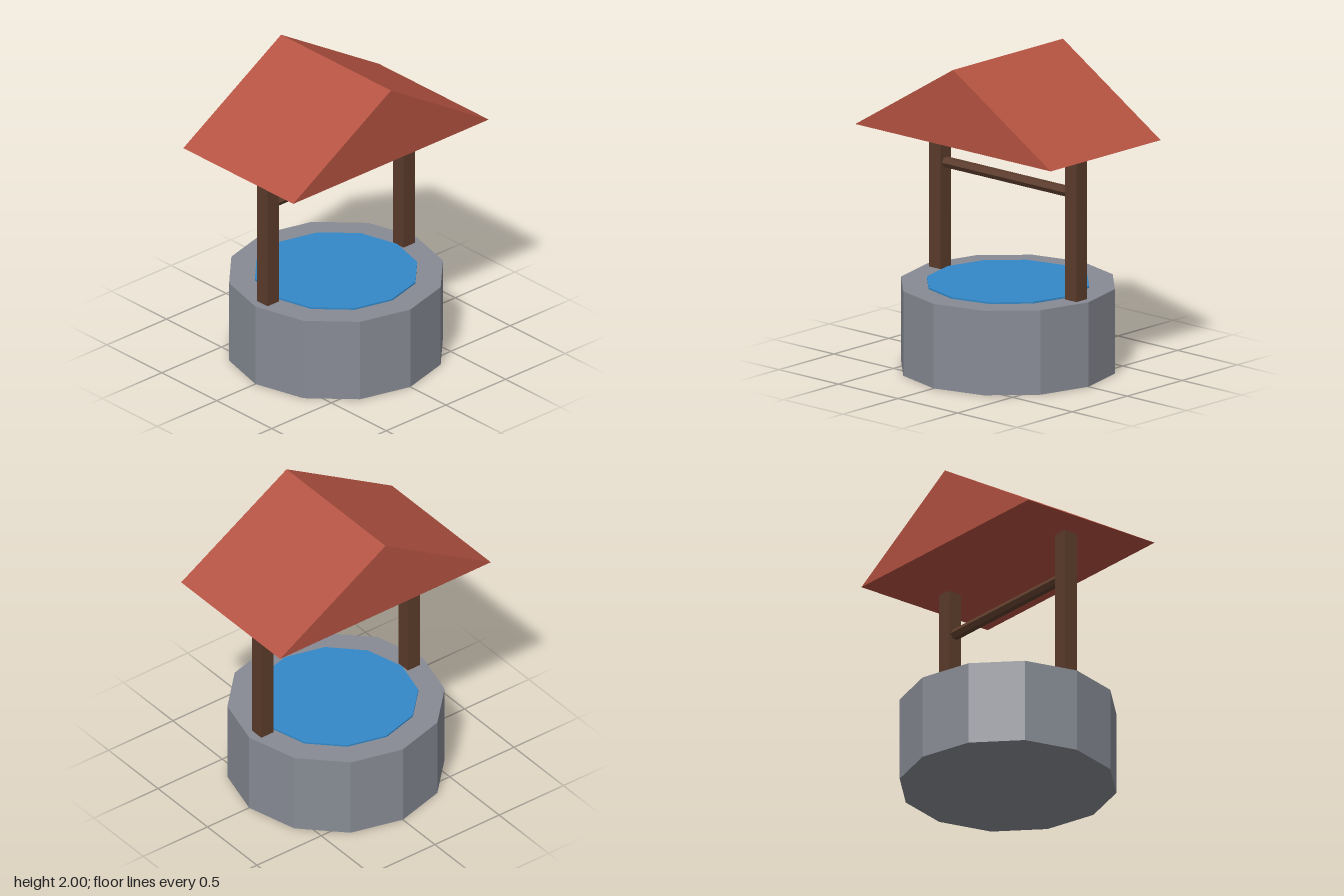
import * as THREE from 'three';

const mat = (name, color) => {
  const m = new THREE.MeshStandardMaterial({ color, flatShading: true });
  m.name = name;
  return m;
};

export function createModel() {
  const stone = mat('stone', 0x878b94);
  const water = mat('water', 0x3388c8);
  const wood = mat('wood', 0x5c3c2b);
  const tile = mat('roof tile', 0xb45241);

  const well = new THREE.Group();
  well.name = 'well';
  const add = (name, geometry, material, x, y, z) => {
    const mesh = new THREE.Mesh(geometry, material);
    mesh.name = name;
    mesh.position.set(x, y, z);
    well.add(mesh);
    return mesh;
  };

  // Twelve-sided base with the water disc standing just above its rim
  add('stoneWall', new THREE.CylinderGeometry(0.676, 0.676, 0.54, 12), stone, 0, 0.27, 0);
  add('waterSurface', new THREE.CylinderGeometry(0.513, 0.513, 0.03, 12), water, 0, 0.536, 0);

  // Posts on either side
  for (const side of [-1, 1]) {
    add(side > 0 ? 'leftPost' : 'rightPost',
      new THREE.BoxGeometry(0.096, 0.966, 0.096), wood, side * 0.57, 1.022, 0);
  }

  // Six-sided crossbar between the posts
  const bar = add('crossbar', new THREE.CylinderGeometry(0.035, 0.035, 1.06, 6), wood, 0, 1.217, 0);
  bar.rotation.z = Math.PI / 2;

  // Gabled roof, a solid triangular prism
  const gable = new THREE.Shape([
    new THREE.Vector2(-0.82, 0),
    new THREE.Vector2(0.82, 0),
    new THREE.Vector2(0, 0.497),
  ]);
  add('roof', new THREE.ExtrudeGeometry(gable, { depth: 1, bevelEnabled: false }), tile, 0, 1.503, -0.5);

  return well;
}
